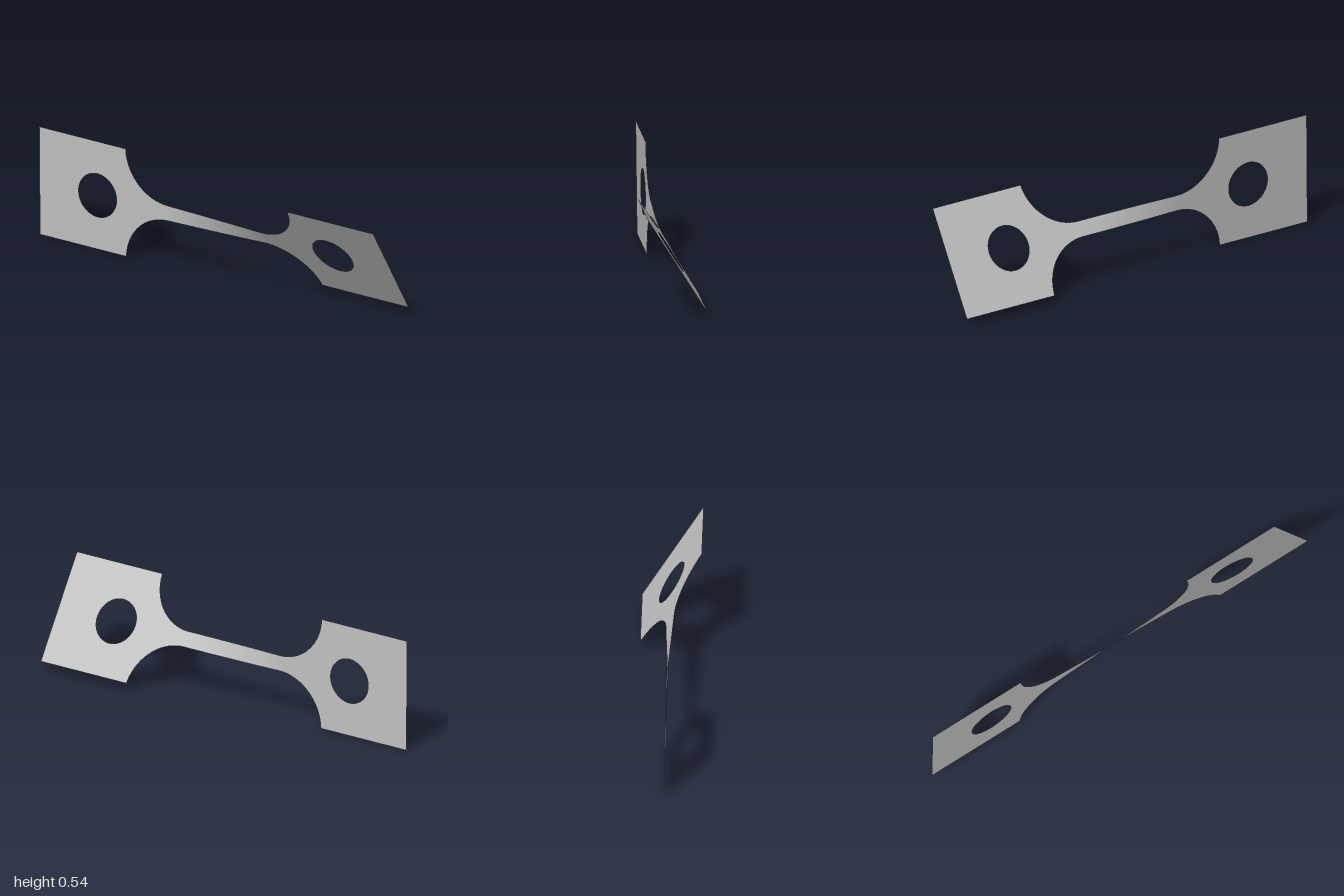
import * as THREE from 'three';

const HALF = 0.27;        // half height of the end plates
const NECK = 0.038;       // half height of the narrow strip
const R = 0.24;           // fillet radius
const FILLET_X = 0.268;   // where the fillets begin
const T_END = Math.acos((NECK + R - HALF) / R);
const PLATE_X = FILLET_X + R * Math.sin(T_END);

// twist about the x axis, growing evenly along the strip
function twist(geometry) {
  const p = geometry.attributes.position;
  for (let i = 0; i < p.count; i++) {
    const x = p.getX(i), y = p.getY(i);
    const k = THREE.MathUtils.clamp((x + 0.29) / 0.58, 0, 1);
    const a = THREE.MathUtils.lerp(0.012, 0.559, k);
    p.setXYZ(i, x, HALF + y * Math.cos(a), y * Math.sin(a));
  }
  geometry.computeVertexNormals();
  return geometry;
}

// flat end plate with a round hole
function endPlate(side) {
  const a = side * PLATE_X, b = side;
  const shape = new THREE.Shape([
    new THREE.Vector2(a, -HALF), new THREE.Vector2(b, -HALF),
    new THREE.Vector2(b, HALF), new THREE.Vector2(a, HALF),
  ]);
  const hole = new THREE.Path();
  hole.absarc(side * 0.67, 0, 0.108, 0, Math.PI * 2, true);
  shape.holes.push(hole);
  return twist(new THREE.ShapeGeometry(shape, 48));
}

// narrow strip that flares through circular fillets into both plates
function neckStrip() {
  const columns = [];
  const arc = 24, straight = 40;
  for (let i = arc; i > 0; i--) {
    const t = T_END * i / arc;
    columns.push([-FILLET_X - R * Math.sin(t), NECK + R * (1 - Math.cos(t))]);
  }
  for (let i = 0; i <= straight; i++) columns.push([FILLET_X * (2 * i / straight - 1), NECK]);
  for (let i = arc - 1; i >= 0; i--) columns.push([-columns[i][0], columns[i][1]]);

  const rows = 4;
  const geometry = new THREE.PlaneGeometry(1, 2, columns.length - 1, rows);
  const p = geometry.attributes.position;
  for (let i = 0; i < p.count; i++) {
    const [x, h] = columns[i % columns.length];
    p.setXY(i, x, p.getY(i) * h);
  }
  return twist(geometry);
}

export function createModel() {
  const group = new THREE.Group();
  group.name = 'twistedTestStrip';
  const metal = new THREE.MeshStandardMaterial({ color: 0xc0c0c0, side: THREE.DoubleSide });
  metal.name = 'grey metal';
  const add = (name, geometry) => {
    const mesh = new THREE.Mesh(geometry, metal);
    mesh.name = name;
    group.add(mesh);
  };
  add('rightPlate', endPlate(-1));
  add('leftPlate', endPlate(1));
  add('neck', neckStrip());
  return group;
}
